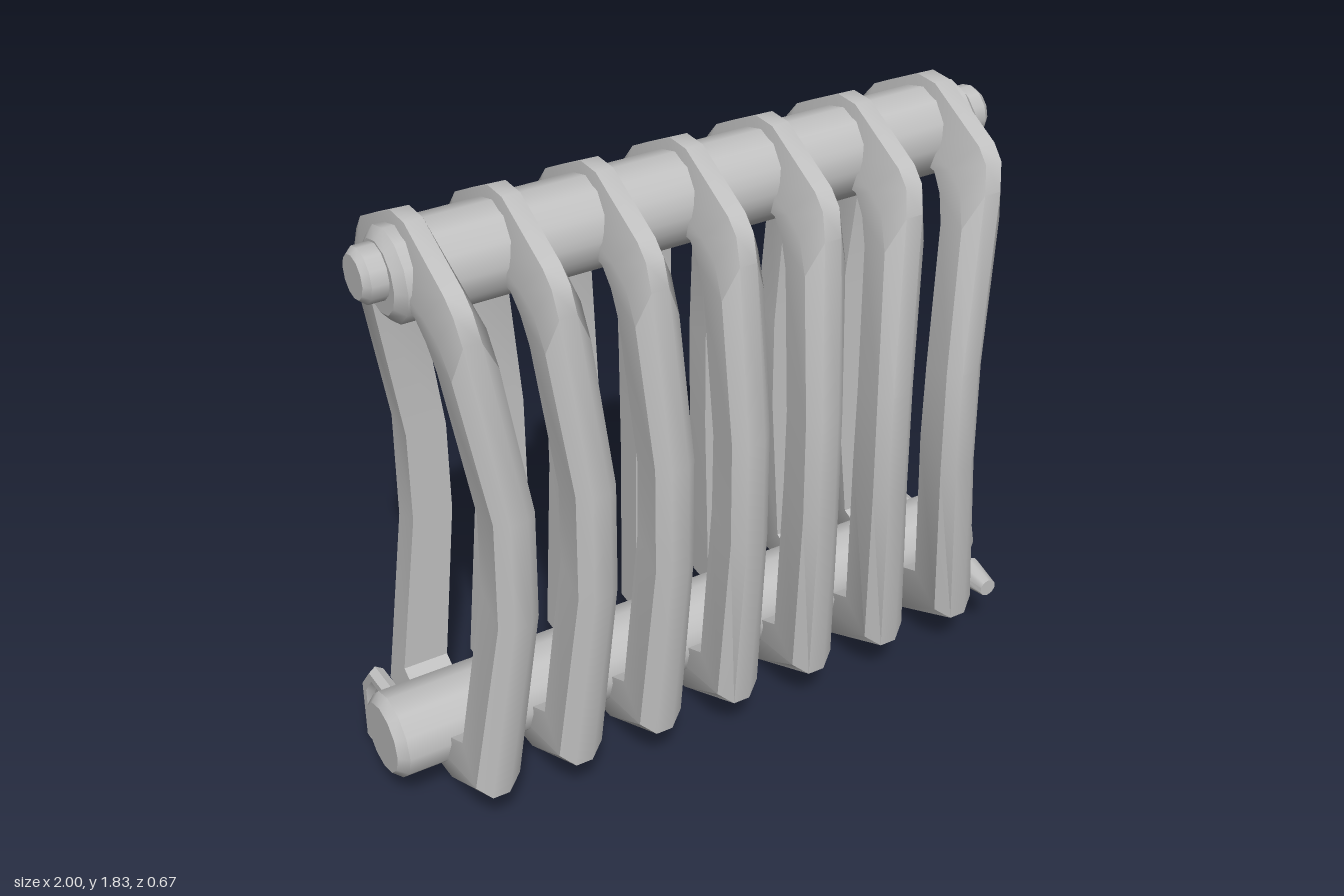
import * as THREE from 'three';
import { toCreasedNormals } from 'three/addons/utils/BufferGeometryUtils.js';

const metal = new THREE.MeshStandardMaterial({ color: 0xc0c0c0 });
metal.name = 'light grey metal';

const AXIS_Z = -0.033;

function part(geometry, name, crease = 0.75) {
  const mesh = new THREE.Mesh(toCreasedNormals(geometry, crease), metal);
  mesh.name = name;
  return mesh;
}

// Skin a list of rings (each a list of [x, y, z]); closed joins last ring to first
function loft(rings, closed) {
  const n = rings[0].length, count = rings.length, index = [];
  for (let i = 0; i < (closed ? count : count - 1); i++) {
    const k = (i + 1) % count;
    for (let j = 0; j < n; j++) {
      const l = (j + 1) % n;
      index.push(i * n + j, k * n + j, k * n + l, i * n + j, k * n + l, i * n + l);
    }
  }
  if (!closed) {
    const e = (count - 1) * n;
    for (let j = 1; j < n - 1; j++) index.push(e, e + j + 1, e + j);
  }
  const g = new THREE.BufferGeometry();
  g.setAttribute('position', new THREE.Float32BufferAttribute(rings.flat(2), 3));
  g.setIndex(index);
  g.computeVertexNormals();
  return g;
}

// Horizontal pipe along x with chamfered ends
function pipe(name, half, radius, endRadius, bevel, y, sides = 12) {
  const profile = [[0, -half], [endRadius, -half], [radius, bevel - half],
    [radius, half - bevel], [endRadius, half], [0, half]].map(p => new THREE.Vector2(...p));
  const mesh = part(new THREE.LatheGeometry(profile, sides), name, 0.6);
  mesh.rotation.z = -Math.PI / 2;
  mesh.position.set(0, y, AXIS_Z);
  return mesh;
}

// Sideways spacing of the sections, drawn together at mid height
const SPACING = [[0.16, 0.262], [0.78, 0.238], [1.08, 0.238], [1.7, 0.267]];
function spacing(y) {
  if (y <= SPACING[0][0]) return SPACING[0][1];
  for (let i = 1; i < SPACING.length; i++) {
    const [y0, s0] = SPACING[i - 1], [y1, s1] = SPACING[i];
    if (y <= y1) return s0 + (s1 - s0) * (y - y0) / (y1 - y0);
  }
  return SPACING[3][1];
}

// Loop stations: outer z,y / shoulder z,y / inner z,y / half width
const STATIONS = [
  [0.01, 1.825, 0.0, 1.68, 0.0, 1.62, 0.066],
  [0.22, 1.72, 0.16, 1.64, 0.10, 1.61, 0.067],
  [0.26, 1.68, 0.22, 1.60, 0.14, 1.56, 0.067],
  [0.28, 1.60, 0.255, 1.50, 0.165, 1.48, 0.065],
  [0.335, 1.08, 0.305, 1.08, 0.21, 1.06, 0.06],
  [0.335, 0.75, 0.305, 0.75, 0.205, 0.82, 0.06],
  [0.28, 0.155, 0.255, 0.19, 0.16, 0.28, 0.068],
  [0.0, 0.02, 0.0, 0.16, 0.0, 0.21, 0.068],
  [-0.07, 0.02, -0.07, 0.16, -0.07, 0.21, 0.068],
  [-0.335, 0.15, -0.31, 0.19, -0.22, 0.28, 0.068],
  [-0.335, 0.75, -0.31, 0.75, -0.22, 0.78, 0.06],
  [-0.335, 1.08, -0.31, 1.08, -0.22, 1.06, 0.06],
  [-0.335, 1.60, -0.31, 1.50, -0.22, 1.48, 0.065],
  [-0.32, 1.66, -0.28, 1.60, -0.205, 1.56, 0.067],
  [-0.27, 1.72, -0.22, 1.64, -0.16, 1.61, 0.067],
  [-0.07, 1.825, -0.07, 1.68, -0.07, 1.62, 0.066],
];

function section(i) {
  const rings = STATIONS.map(([oz, oy, mz, my, iz, iy, w]) => [
    [-0.026, oy, oz], [0.026, oy, oz], [w, my, mz],
    [w, iy, iz], [-w, iy, iz], [-w, my, mz],
  ].map(([x, y, z]) => [x + i * spacing(y), y, z]));
  return part(loft(rings, true), 'radiatorSection');
}

// Bent foot: leaves the lower pipe at the back and turns down to the floor
function foot(x) {
  const path = [[-0.1, 0.262, Math.PI / 2], [-0.255, 0.262, 1.1], [-0.31, 0.19, 0.4], [-0.31, 0, 0]];
  const rings = path.map(([z, y, tilt]) => Array.from({ length: 6 }, (_, j) => {
    const a = j * Math.PI / 3, r = 0.026, out = Math.cos(a) * r;
    return [x - Math.sin(a) * r, y + out * Math.sin(tilt), z - out * Math.cos(tilt)];
  }));
  return part(loft(rings, false), 'foot', 0.6);
}

export function createModel() {
  const group = new THREE.Group();
  group.name = 'radiator';

  // Pipes and end plugs
  group.add(
    pipe('upperPipe', 0.89, 0.129, 0.1, 0.025, 1.672),
    pipe('upperPlugs', 0.955, 0.076, 0.06, 0.018, 1.69),
    pipe('lowerPipe', 1, 0.129, 0.105, 0.028, 0.228),
  );

  // Seven looped sections
  for (let i = -3; i <= 3; i++) group.add(section(i));

  // Feet
  for (const side of [-1, 1]) group.add(foot(side * 0.912));

  // Bleed valve
  const valve = new THREE.Group();
  valve.name = 'valve';
  const stem = part(new THREE.CylinderGeometry(0.013, 0.013, 0.14, 8), 'valveStem');
  stem.position.y = 0.1;
  const knob = part(new THREE.CylinderGeometry(0.028, 0.047, 0.105, 10), 'valveKnob');
  knob.position.y = 0.208;
  valve.add(stem, knob);
  valve.rotation.x = Math.PI / 2;
  valve.position.set(0.915, 0.198, 0);
  group.add(valve);

  return group;
}
